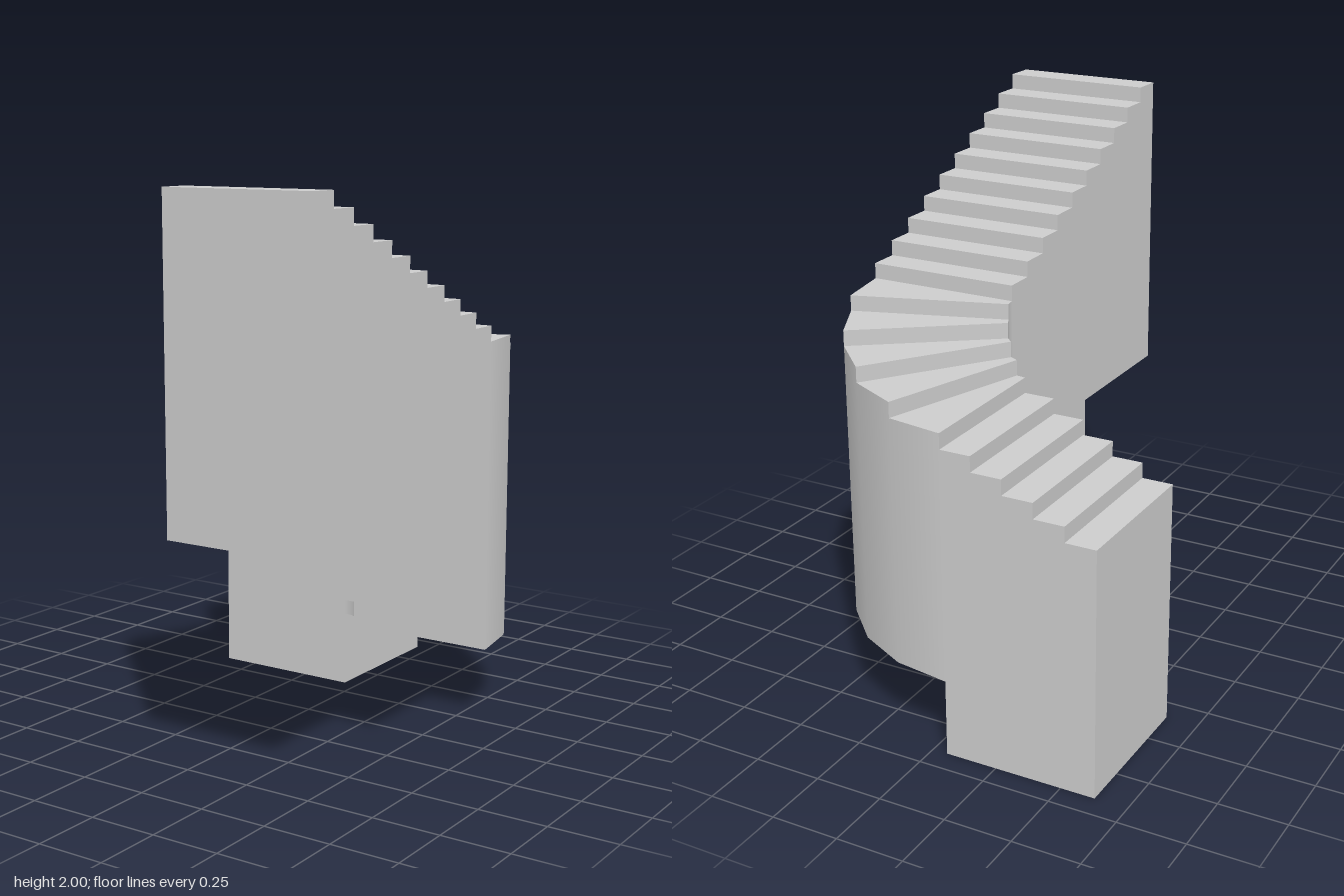
import * as THREE from 'three';

const TREAD = 0.8 / 7;    // going of one straight step
const RISE = 0.4 / 7;     // height of one step
const R_IN = TREAD, R_OUT = TREAD * 6;   // radii of the quarter turn
const STEPS = 20, TURN_START = 5, TURN_END = 10;
const PIVOT = { x: -0.4 / 7, z: -1.6 / 7 };

// Plan position of riser line i: a centre and the outward direction across the stair
function station(i) {
  const a = THREE.MathUtils.clamp((i - TURN_START) / (TURN_END - TURN_START), 0, 1) * Math.PI / 2;
  const out = new THREE.Vector3(Math.sin(a), 0, -Math.cos(a));
  const centre = new THREE.Vector3(
    PIVOT.x + Math.min(i - TURN_START, 0) * TREAD, 0,
    PIVOT.z + Math.max(i - TURN_END, 0) * TREAD);
  const at = (r) => (y) => centre.clone().addScaledVector(out, r).setY(y);
  return { out, inward: out.clone().negate(), inner: at(R_IN), outer: at(R_OUT) };
}

const topOf = (i) => (16 + i) * RISE;
const baseOf = (i) => Math.floor(i / 5) * 5 * RISE;   // underside rises every five steps

// Builds steps from..to-1 as one clean shell without inner walls
function flight(name, from, to, material) {
  const pos = [], nor = [];
  const quad = (p, n) => {
    const flat = new THREE.Vector3().subVectors(p[1], p[0])
      .cross(new THREE.Vector3().subVectors(p[2], p[0])).normalize();
    for (const k of [0, 1, 2, 0, 2, 3]) {
      pos.push(...p[k].toArray());
      nor.push(...(n ? n[k] : flat).toArray());
    }
  };

  for (let i = from; i < to; i++) {
    const a = station(i), b = station(i + 1);
    const t = topOf(i), u = baseOf(i);
    // tread and underside
    quad([a.inner(t), b.inner(t), b.outer(t), a.outer(t)]);
    quad([a.inner(u), a.outer(u), b.outer(u), b.inner(u)]);
    // side walls, smooth around the turn
    quad([a.outer(u), a.outer(t), b.outer(t), b.outer(u)], [a.out, a.out, b.out, b.out]);
    quad([a.inner(u), b.inner(u), b.inner(t), a.inner(t)], [a.inward, b.inward, b.inward, a.inward]);
    // riser (the first one is the full end wall)
    const low = i === 0 ? u : topOf(i - 1);
    quad([a.inner(low), a.inner(t), a.outer(t), a.outer(low)]);
    // step in the underside (the last one is the full end wall)
    const high = i === STEPS - 1 ? t : baseOf(i + 1);
    if (high > u) quad([b.inner(u), b.outer(u), b.outer(high), b.inner(high)]);
  }

  const geometry = new THREE.BufferGeometry();
  geometry.setAttribute('position', new THREE.Float32BufferAttribute(pos, 3));
  geometry.setAttribute('normal', new THREE.Float32BufferAttribute(nor, 3));
  const mesh = new THREE.Mesh(geometry, material);
  mesh.name = name;
  return mesh;
}

export function createModel() {
  const stone = new THREE.MeshStandardMaterial({ color: 0xcccccc });
  stone.name = 'light grey';

  const group = new THREE.Group();
  group.name = 'quarterTurnStaircase';
  group.add(
    flight('lowerFlight', 0, TURN_START, stone),
    flight('windingSteps', TURN_START, TURN_END, stone),
    flight('upperFlight', TURN_END, STEPS, stone));
  return group;
}
